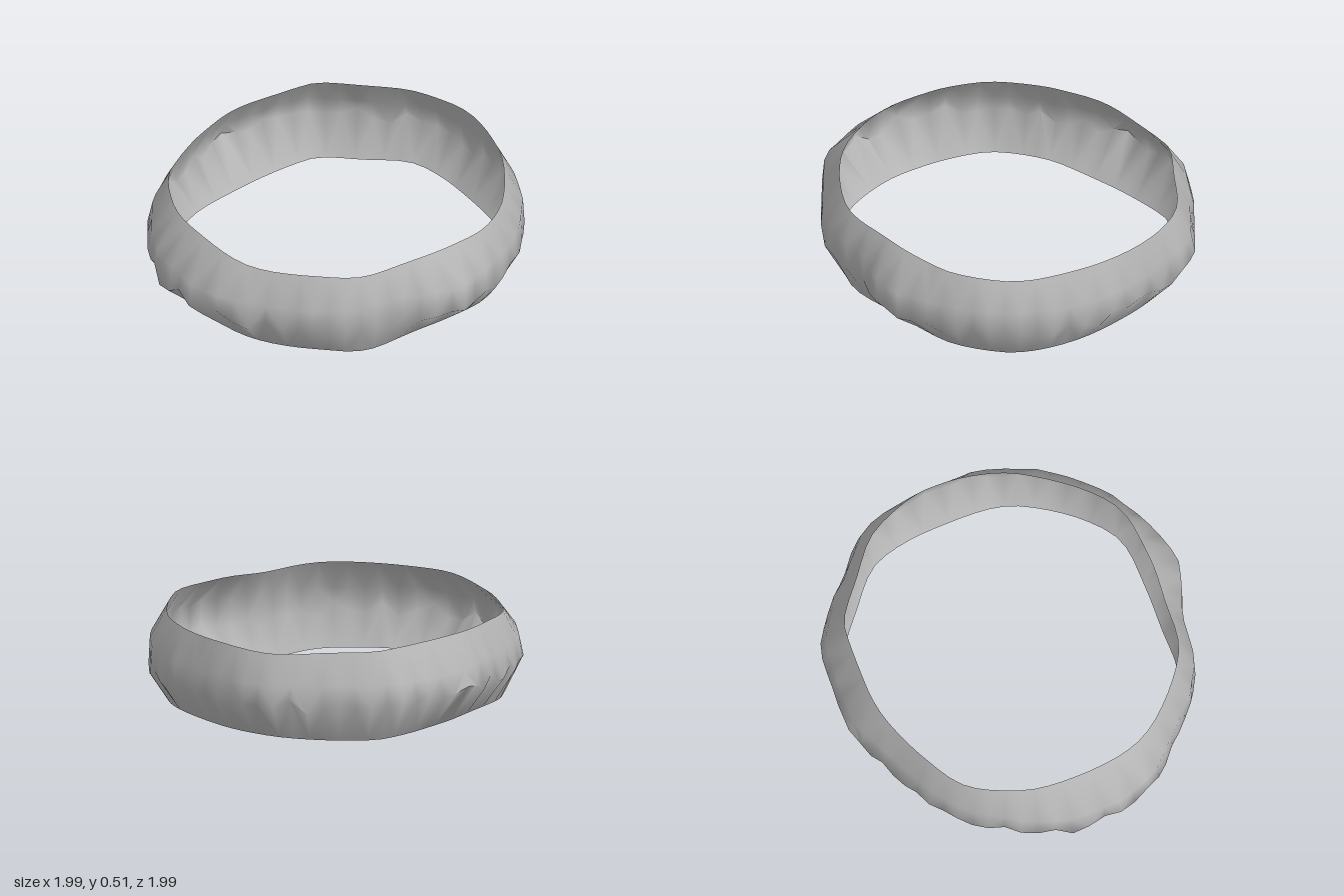
import * as THREE from 'three';
import { toCreasedNormals } from 'three/addons/utils/BufferGeometryUtils.js';

// Plan outlines as [x, z] points: the bulging waist and the narrower rims
const WAIST = [[1, 0.05], [0.975, 0.24], [0.88, 0.475], [0.74, 0.695], [0.59, 0.765], [0.43, 0.815], [0.21, 0.96],
  [0, 0.995], [-0.235, 0.975], [-0.49, 0.95], [-0.71, 0.805], [-0.89, 0.585], [-0.965, 0.35], [-1, 0.05],
  [-0.945, -0.19], [-0.83, -0.44], [-0.705, -0.685], [-0.475, -0.86], [-0.3, -0.98], [-0.12, -1], [0.14, -0.985],
  [0.38, -0.97], [0.495, -0.91], [0.7, -0.72], [0.9, -0.47], [0.99, -0.19]];
const RIM = [[0.895, 0.11], [0.83, 0.35], [0.645, 0.53], [0.44, 0.69], [0.22, 0.855], [0.03, 0.89],
  [-0.26, 0.865], [-0.42, 0.8], [-0.61, 0.64], [-0.78, 0.41], [-0.85, 0.24], [-0.885, 0], [-0.795, -0.24],
  [-0.67, -0.42], [-0.5, -0.62], [-0.31, -0.8], [-0.2, -0.87], [0.05, -0.88], [0.3, -0.865], [0.47, -0.76],
  [0.67, -0.55], [0.83, -0.32], [0.885, -0.13]];
// Rim heights at sixteen equal angles, from +x towards +z
const TOP = [0.48, 0.505, 0.5, 0.485, 0.505, 0.5, 0.515, 0.49, 0.48, 0.5, 0.51, 0.505, 0.5, 0.49, 0.51, 0.505];
const BOTTOM = [0.01, 0.035, 0.02, 0, 0.03, 0.035, 0.03, 0.01, 0.015, 0.03, 0.02, 0.015, 0.015, 0.03, 0.025, 0.03];
const TAU = Math.PI * 2;

// Closed smooth curve through an outline, as dense [x, z] points
function smoothOutline(points) {
  const curve = new THREE.CatmullRomCurve3(points.map(([x, z]) => new THREE.Vector3(x, 0, z)), true);
  return curve.getPoints(200).slice(0, -1).map((p) => [p.x, p.z]);
}

// Radius of a closed outline in direction a
function radiusAt(outline, a) {
  const dx = Math.cos(a), dz = Math.sin(a);
  for (let i = 0; i < outline.length; i++) {
    const [x0, z0] = outline[i], [x1, z1] = outline[(i + 1) % outline.length];
    const c0 = dx * z0 - dz * x0, c1 = dx * z1 - dz * x1;
    if (c0 <= 0 && c1 > 0) {
      const t = c0 / (c0 - c1);
      return Math.hypot(x0 + (x1 - x0) * t, z0 + (z1 - z0) * t);
    }
  }
  return 0.9;
}

// Smooth value from an equally spaced, closed table
function heightAt(table, a) {
  const n = table.length, f = (a / TAU) * n, i = Math.floor(f), t = f - i;
  const s = t * t * (3 - 2 * t);
  return table[i % n] * (1 - s) + table[(i + 1) % n] * s;
}

// Local swelling of the upper rim around direction c
const swell = (a, c, w, h) => h * Math.exp(-(((a - c) / w) ** 2));

export function createModel() {
  const group = new THREE.Group();
  const material = new THREE.MeshStandardMaterial({ color: 0xb4b4b4, side: THREE.DoubleSide });
  material.name = 'plain grey';

  let seed = 11;
  const random = () => (seed = (seed * 16807) % 2147483647) / 2147483647;

  // Four rings: lower rim, ragged lower waist, upper waist, upper rim
  const rimOutline = smoothOutline(RIM);
  const columns = 72, rows = 4, positions = [], index = [];
  for (let i = 0; i < columns; i++) {
    const a = (i / columns) * TAU;
    const waist = radiusAt(WAIST, a), rim = radiusAt(rimOutline, a);
    const rimTop = rim + swell(a, 3.85, 0.35, 0.045) + swell(a, 5.5, 0.38, 0.06) + swell(a, 0.8, 0.3, 0.02);
    // The waist is upright at the front left and comes to a ridge opposite
    const ridge = 0.5 - 0.5 * Math.cos(a - Math.PI / 4);
    const ragged = 0.195 + 0.035 * ridge + 0.025 * Math.cos((i * TAU) / 3) + (random() - 0.5) * 0.05;
    const ring = [
      [rim, heightAt(BOTTOM, a)],
      [waist, ragged],
      [waist - 0.003 - 0.027 * ridge, 0.34 + (random() - 0.5) * 0.02],
      [Math.min(rimTop, waist - 0.015), heightAt(TOP, a)],
    ];
    for (const [r, y] of ring) positions.push(r * Math.cos(a), y, r * Math.sin(a));
  }
  for (let i = 0; i < columns; i++) {
    for (let j = 0; j < rows - 1; j++) {
      const p = i * rows + j, q = ((i + 1) % columns) * rows + j;
      if (i % 2) index.push(p, p + 1, q, q, p + 1, q + 1);
      else index.push(p, p + 1, q + 1, p, q + 1, q);
    }
  }
  const geometry = new THREE.BufferGeometry();
  geometry.setAttribute('position', new THREE.Float32BufferAttribute(positions, 3));
  geometry.setIndex(index);

  const band = new THREE.Mesh(toCreasedNormals(geometry, 1), material);
  band.name = 'band';
  group.add(band);
  return group;
}
